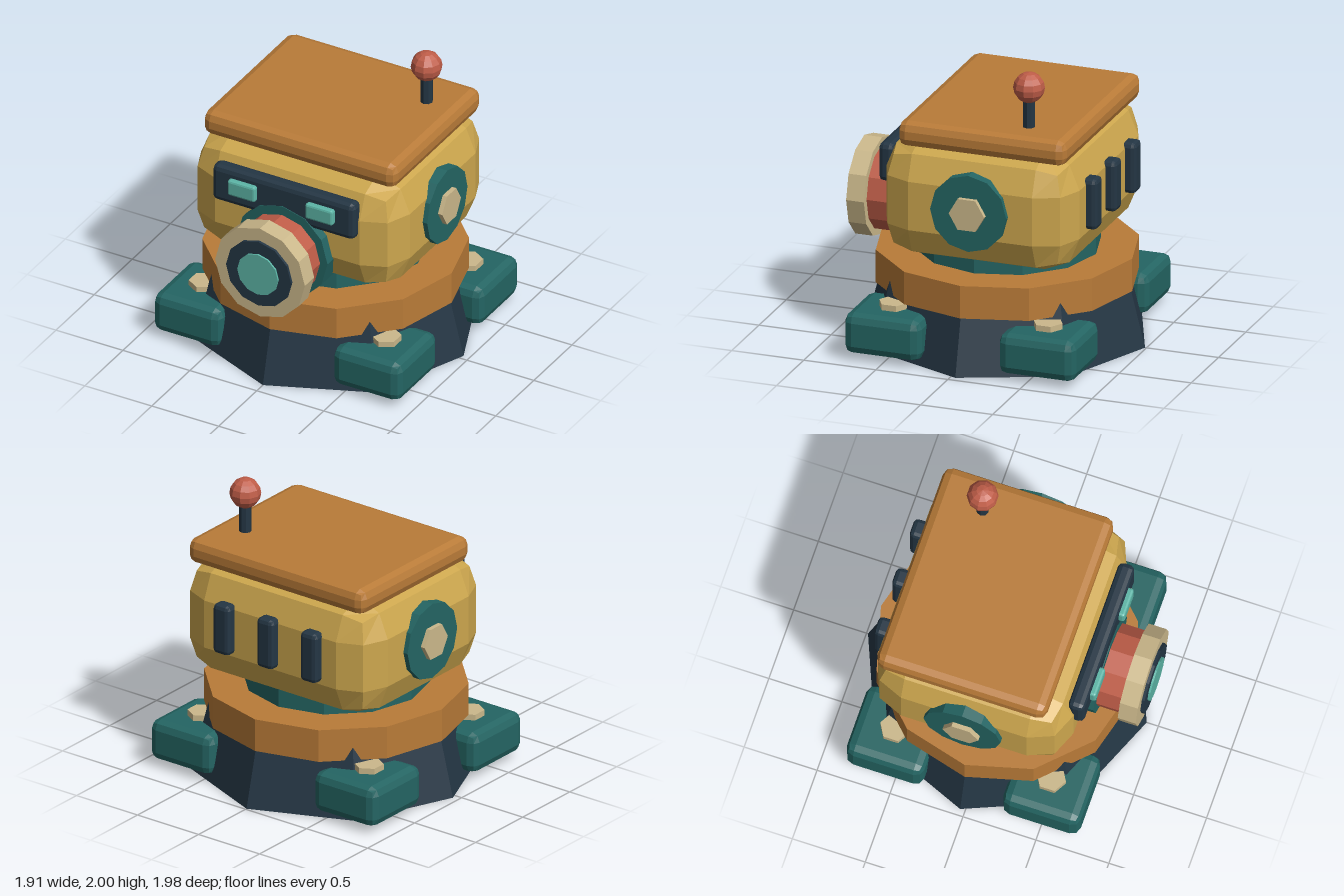
import * as THREE from 'three';
import { RoundedBoxGeometry } from 'three/addons/geometries/RoundedBoxGeometry.js';

const colours = {
  yellow: 0xcda74e, orange: 0xb97b38, dark: 0x243644, teal: 0x246563,
  red: 0xbf5d48, beige: 0xcbb88b, glow: 0x5cb5a6,
};

export function createModel() {
  const root = new THREE.Group();
  root.name = 'robot';

  const mats = {};
  for (const [name, hex] of Object.entries(colours)) {
    mats[name] = new THREE.MeshStandardMaterial({ color: hex, flatShading: true });
    mats[name].name = name;
  }

  function add(name, geometry, mat, x, y, z) {
    const mesh = new THREE.Mesh(geometry, mats[mat]);
    mesh.name = name;
    mesh.position.set(x, y, z);
    root.add(mesh);
    return mesh;
  }

  // Box with one-step rounded edges, given by its lower and upper corners
  function block(name, mat, lo, hi, radius) {
    const size = hi.map((v, i) => v - lo[i]);
    const mid = hi.map((v, i) => (v + lo[i]) / 2);
    return add(name, new RoundedBoxGeometry(...size, 1, radius), mat, ...mid);
  }

  // Upright faceted cylinder from y0 to y1
  function post(name, mat, r0, r1, y0, y1, sides, x, z) {
    return add(name, new THREE.CylinderGeometry(r1, r0, y1 - y0, sides), mat, x, (y0 + y1) / 2, z);
  }

  // Faceted cylinder along z
  function barrel(name, mat, r, z0, z1, sides, y) {
    const geo = new THREE.CylinderGeometry(r, r, z1 - z0, sides).rotateX(Math.PI / 2);
    return add(name, geo, mat, 0, y, (z0 + z1) / 2);
  }

  // Faceted cylinder along x
  function sideDisc(name, mat, r, x0, x1, sides, side, y, z) {
    const geo = new THREE.CylinderGeometry(r, r, x1 - x0, sides).rotateZ(Math.PI / 2);
    return add(name, geo, mat, (side * (x0 + x1)) / 2, y, z);
  }

  const cz = -0.035;

  // Base: its corners poke through the collar
  post('base', 'dark', 0.955, 0.825, 0, 0.515, 8, 0, cz);
  post('collar', 'orange', 0.866, 0.866, 0.38, 0.605, 12, 0, cz);
  post('neck', 'teal', 0.615, 0.615, 0.55, 0.85, 12, 0, cz);

  // Feet with bolts
  for (const sx of [-1, 1]) {
    for (const z of [0.497, -0.575]) {
      const foot = new RoundedBoxGeometry(0.505, 0.28, 0.53, 1, 0.06);
      add('foot', foot, 'teal', sx * 0.67, 0.185, z);
      post('footBolt', 'beige', 0.1, 0.1, 0.3, 0.365, 6, sx * 0.68, z);
    }
  }

  // Head and cap
  block('head', 'yellow', [-0.78, 0.67, -0.74], [0.78, 1.485, 0.6], 0.24);
  block('cap', 'orange', [-0.72, 1.45, -0.7], [0.72, 1.625, 0.465], 0.06);

  // Visor and eyes
  block('visor', 'dark', [-0.53, 1.12, 0.555], [0.53, 1.385, 0.665], 0.035);
  for (const sx of [-1, 1]) {
    const eye = new RoundedBoxGeometry(0.205, 0.112, 0.07, 1, 0.015);
    add('eye', eye, 'glow', sx * 0.29, 1.27, 0.668);
  }

  // Snout lens
  barrel('lensMount', 'teal', 0.34, 0.45, 0.67, 12, 0.892);
  barrel('lensBarrel', 'red', 0.285, 0.66, 0.84, 12, 0.882);
  barrel('lensFlange', 'beige', 0.335, 0.835, 0.958, 12, 0.882);
  barrel('lensRim', 'dark', 0.243, 0.95, 0.977, 12, 0.882);
  barrel('lensGlass', 'glow', 0.152, 0.97, 0.99, 12, 0.882);

  // Ears with hex bolts
  for (const sx of [-1, 1]) {
    sideDisc('ear', 'teal', 0.264, 0.7, 0.814, 12, sx, 1.092, -0.07);
    sideDisc('earBolt', 'beige', 0.123, 0.8, 0.846, 6, sx, 1.092, -0.07);
  }

  // Back vents
  for (const x of [-0.357, 0, 0.357]) {
    block('backVent', 'dark', [x - 0.066, 0.93, -0.81], [x + 0.066, 1.28, -0.7], 0.03);
  }

  // Antenna
  post('antennaStem', 'dark', 0.042, 0.042, 1.58, 1.85, 8, 0.488, -0.37);
  add('antennaBall', new THREE.SphereGeometry(0.104, 10, 8), 'red', 0.488, 1.896, -0.37);

  return root;
}
